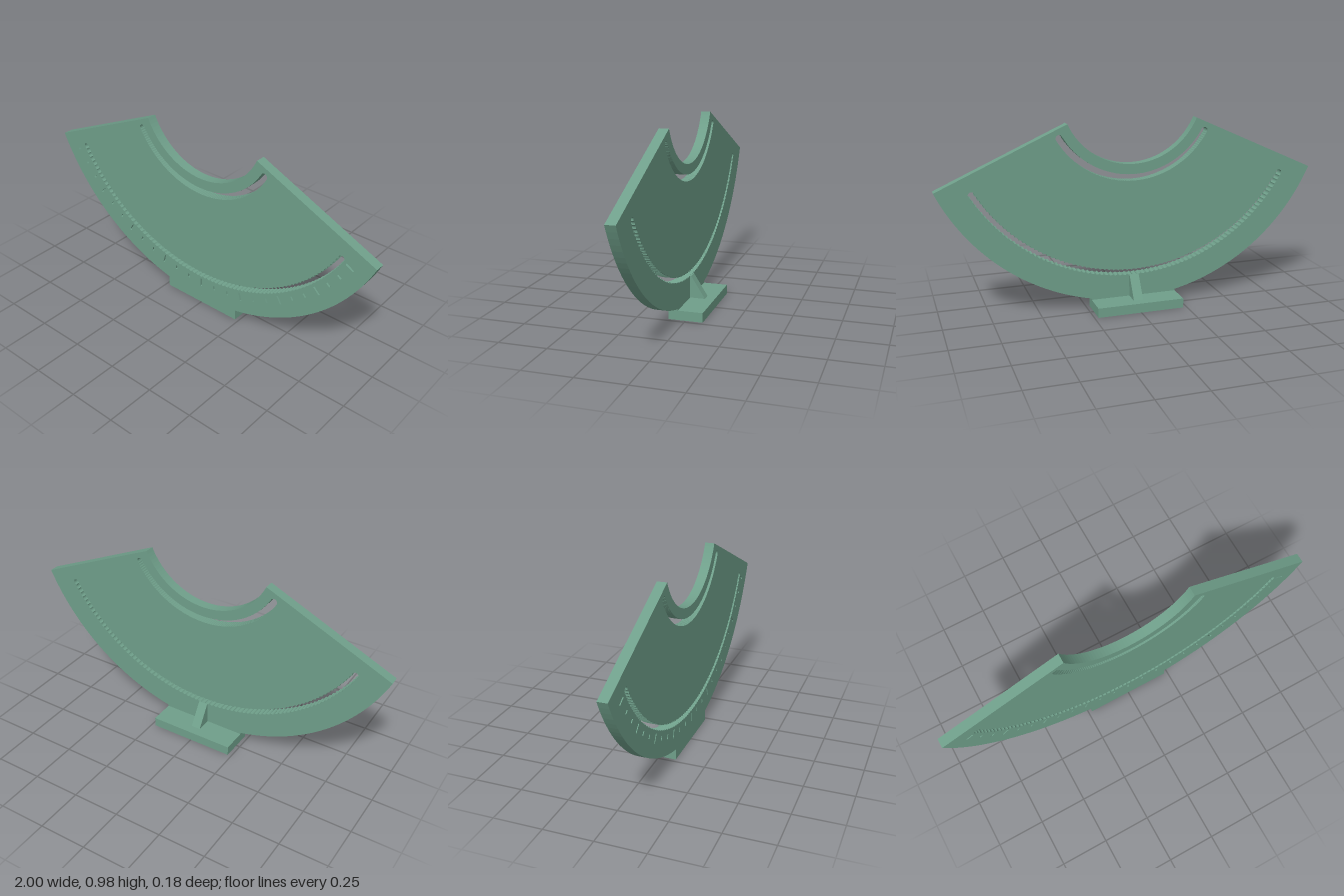
import * as THREE from 'three';

const CY = 1.13;                 // height of the common arc centre
const R_IN = 0.373, R_OUT = 1.0964;
const END = 65.7;                // half angle of the sector, degrees
const rad = THREE.MathUtils.degToRad;

// point at radius r, angle a (degrees) measured from straight down
const polar = (r, a) => new THREE.Vector2(r * Math.sin(rad(a)), CY - r * Math.cos(rad(a)));

function arc(r, from, to, n) {
  return Array.from({ length: n + 1 }, (_, i) => polar(r, from + (to - from) * i / n));
}

// curved slot made of a row of overlapping drilled holes
function drilledSlot(r, holeR, half, step, sub) {
  const n = Math.round(2 * half / step) * sub;
  const side = (sign) => Array.from({ length: n + 1 }, (_, i) => {
    const k = i / sub;
    const d = r * rad(step) * (k - Math.round(k));
    return polar(r + sign * Math.sqrt(holeR * holeR - d * d), -half + k * step);
  });
  const cap = (a, turn) => {
    const c = polar(r, a), pts = [];
    for (let i = 1; i < 8; i++) {
      const t = rad(a - 90 + turn + 180 * i / 8);
      pts.push(new THREE.Vector2(c.x + holeR * Math.cos(t), c.y + holeR * Math.sin(t)));
    }
    return pts;
  };
  return new THREE.Path([...side(1), ...cap(half, 0), ...side(-1).reverse(), ...cap(-half, 180)]);
}

// thin engraved mark along a radius
function tick(a) {
  const long = a % 15 === 0;
  const r0 = long ? 0.978 : 0.99, r1 = long ? 1.025 : 1.013;
  const c = rad(a), w = 0.005;
  const off = new THREE.Vector2(Math.cos(c) * w, Math.sin(c) * w);
  const p = polar(r0, a), q = polar(r1, a);
  return new THREE.Path([p.clone().sub(off), p.clone().add(off), q.clone().add(off), q.clone().sub(off)]);
}

// sector outline with a flat seat for the foot
function plateShape() {
  const foot = 0.23;
  const fa = THREE.MathUtils.radToDeg(Math.asin(foot / R_OUT));
  const shape = new THREE.Shape([
    ...arc(R_OUT, -END, -fa, 28),
    new THREE.Vector2(-foot, 0.05), new THREE.Vector2(foot, 0.05),
    ...arc(R_OUT, fa, END, 28),
    ...arc(R_IN, END, -END, 48),
  ]);
  shape.holes.push(drilledSlot(0.4425, 0.0175, 60, 1.5, 2), drilledSlot(0.948, 0.0165, 60, 1.5, 6));
  return shape;
}

const extrude = (shape, depth) =>
  new THREE.ExtrudeGeometry(shape, { depth, bevelEnabled: false, curveSegments: 20 });

export function createModel() {
  const group = new THREE.Group();
  const material = new THREE.MeshStandardMaterial({ color: 0x6f9f8a });
  const add = (name, geometry) => {
    const mesh = new THREE.Mesh(geometry, material);
    mesh.name = name;
    group.add(mesh);
  };

  // slotted sector plate; its front layer carries the engraved scale
  add('plate', extrude(plateShape(), 0.04).translate(0, 0, 0.04));
  const face = plateShape();
  for (let a = -60; a <= 60; a += 5) face.holes.push(tick(a));
  add('scaleFace', extrude(face, 0.01).translate(0, 0, 0.08));

  // foot with two screw holes in its underside, below the plate
  const foot = new THREE.Shape([[-0.23, -0.09], [0.23, -0.09], [0.23, 0.09], [-0.23, 0.09]]
    .map(([x, y]) => new THREE.Vector2(x, y)));
  for (const x of [-0.152, 0.152]) {
    foot.holes.push(new THREE.Path().absarc(x, -0.065, 0.013, 0, Math.PI * 2, true));
  }
  add('foot', extrude(foot, 0.05).rotateX(-Math.PI / 2));

  // triangular rib bracing the plate from behind
  const rib = new THREE.Shape([[-0.04, 0.05], [0.04, 0.05], [0.04, 0.168], [0.034, 0.168]]
    .map(([z, y]) => new THREE.Vector2(-z, y)));
  add('rib', extrude(rib, 0.05).translate(0, 0, -0.025).rotateY(Math.PI / 2));

  return group;
}
